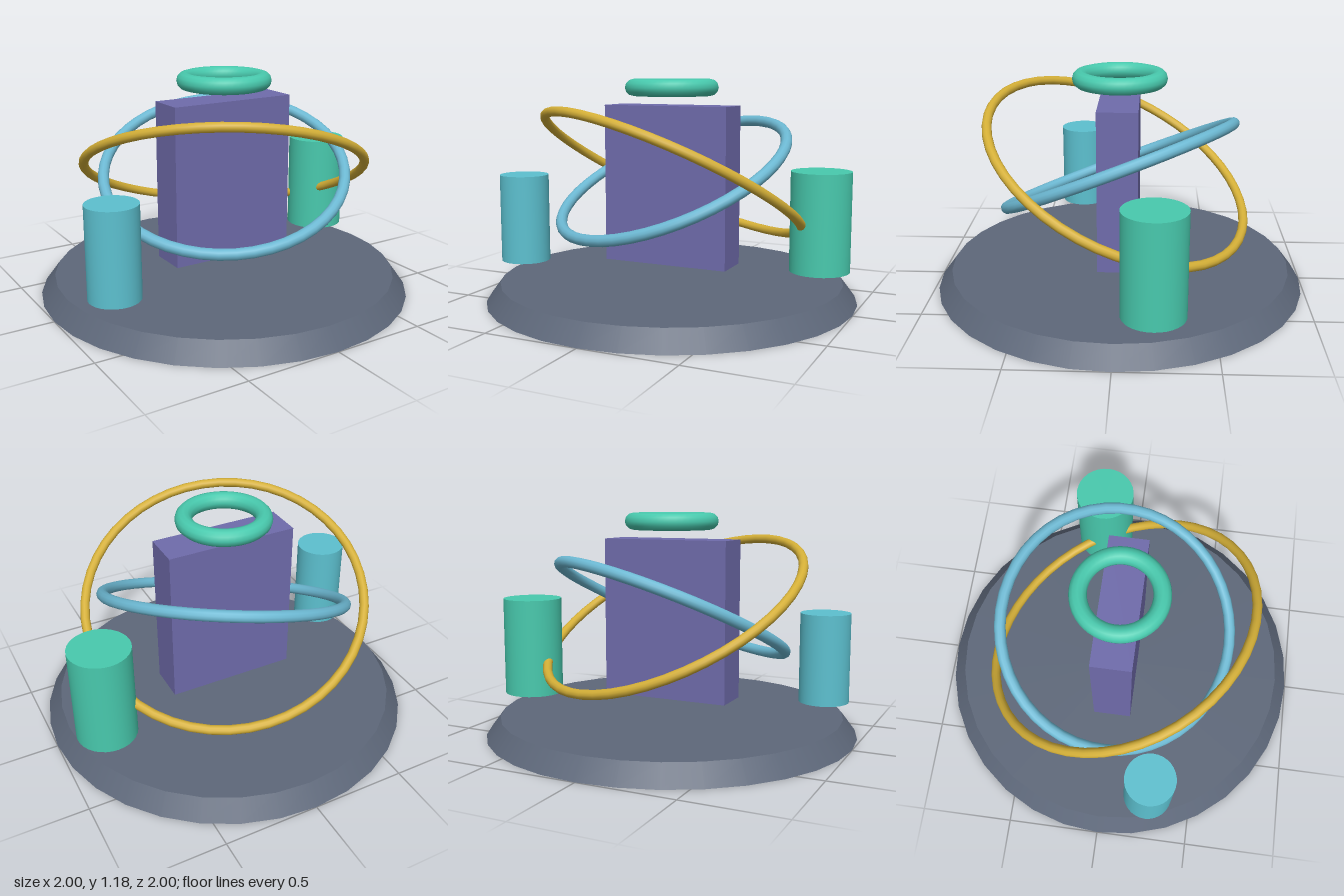
import * as THREE from 'three';

const paint = (name, color) => {
  const m = new THREE.MeshStandardMaterial({ color });
  m.name = name;
  return m;
};

export function createModel() {
  const model = new THREE.Group();
  const slate = paint('slate', 0x5d6779);
  const violet = paint('violet', 0x6f6bab);
  const green = paint('sea green', 0x48c9ad);
  const cyan = paint('cyan', 0x5cc0cf);
  const sky = paint('sky blue', 0x6cb8d2);
  const gold = paint('gold', 0xd4af37);

  const add = (name, geometry, material, x, y, z) => {
    const mesh = new THREE.Mesh(geometry, material);
    mesh.name = name;
    mesh.position.set(x, y, z);
    model.add(mesh);
    return mesh;
  };

  // A torus whose axis points along the given normal
  const ring = (name, radius, tube, material, y, normal) => {
    const mesh = add(name, new THREE.TorusGeometry(radius, tube, 12, 48), material, 0, y, 0);
    mesh.quaternion.setFromUnitVectors(
      new THREE.Vector3(0, 0, 1),
      new THREE.Vector3(...normal).normalize()
    );
  };

  // Bevelled round base
  add('base', new THREE.CylinderGeometry(0.925, 1, 0.1, 32), slate, 0, 0.05, 0);

  // Floating central slab
  add('slab', new THREE.BoxGeometry(0.704, 0.852, 0.208), violet, 0, 0.61, 0);

  // Floating side pillars
  add('leftPillar', new THREE.CylinderGeometry(0.16, 0.16, 0.532, 32), green, 0.775, 0.434, -0.188);
  add('rightPillar', new THREE.CylinderGeometry(0.133, 0.133, 0.478, 32), cyan, -0.78, 0.413, 0.257);

  // Halo above the slab and two tilted orbit rings
  ring('halo', 0.205, 0.045, green, 1.131, [0, 1, 0]);
  ring('innerOrbit', 0.648, 0.03, sky, 0.656, [-0.234, 0.902, 0.358]);
  ring('outerOrbit', 0.749, 0.025, gold, 0.656, [0.251, 0.873, -0.416]);

  return model;
}
